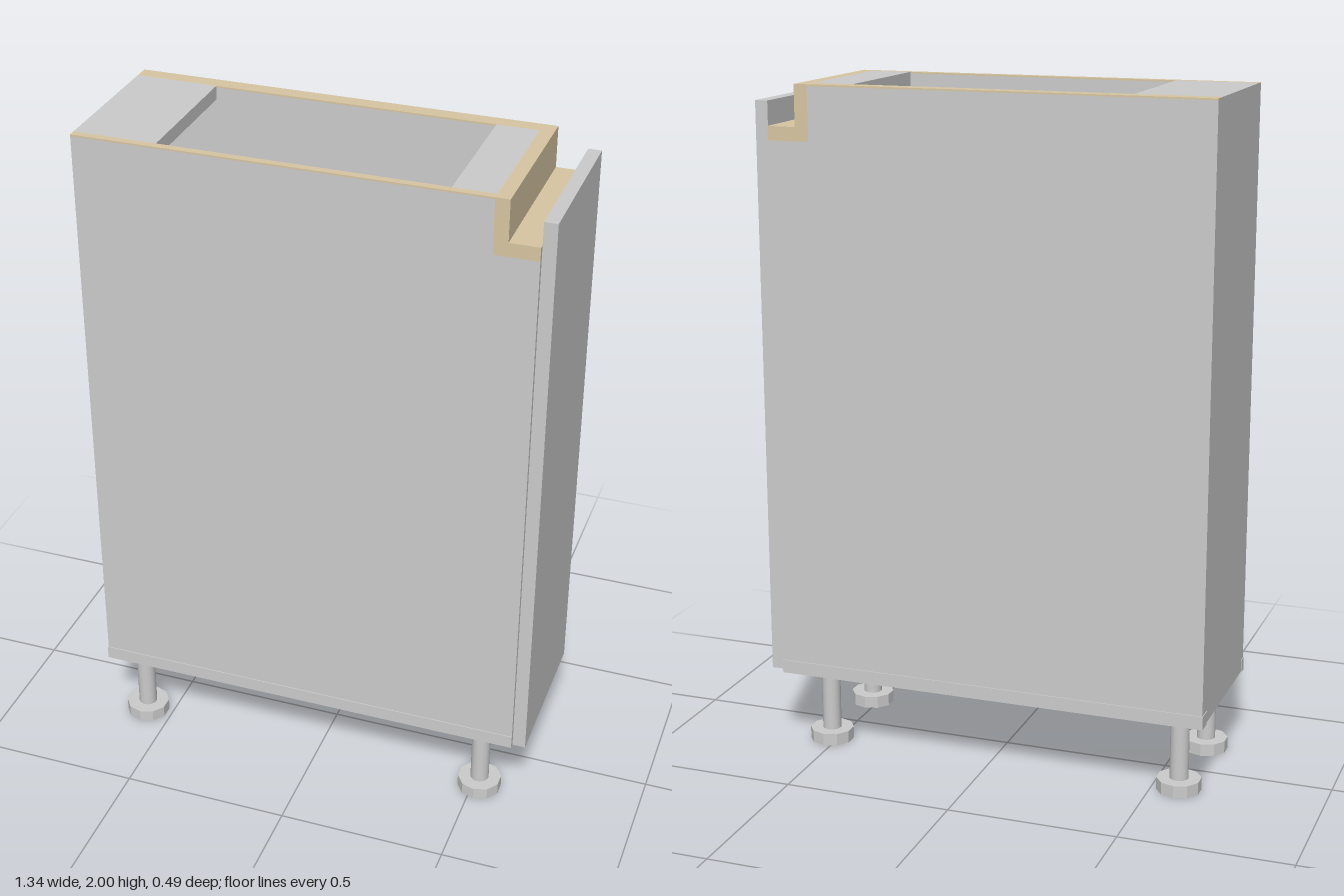
import * as THREE from 'three';

const grey = new THREE.MeshStandardMaterial({ color: 0xcccccc });
const wood = new THREE.MeshStandardMaterial({ color: 0xd8c6a2 });

// Box given by its minimum and maximum corners
function box(parent, name, [x0, y0, z0], [x1, y1, z1], material = grey) {
  const mesh = new THREE.Mesh(new THREE.BoxGeometry(x1 - x0, y1 - y0, z1 - z0), material);
  mesh.position.set((x0 + x1) / 2, (y0 + y1) / 2, (z0 + z1) / 2);
  mesh.name = name;
  parent.add(mesh);
}

// Outline in x and y, extruded from z0 to z1
function profile(parent, name, points, z0, z1, material = grey) {
  const shape = new THREE.Shape(points.map(([x, y]) => new THREE.Vector2(x, y)));
  const geometry = new THREE.ExtrudeGeometry(shape, { depth: z1 - z0, bevelEnabled: false });
  geometry.translate(0, 0, z0);
  const mesh = new THREE.Mesh(geometry, material);
  mesh.name = name;
  parent.add(mesh);
}

function createLeg(x, z) {
  const leg = new THREE.Group();
  leg.name = 'leg';
  const parts = [
    ['foot', 0.066, 0, 0.037, 10],
    ['pole', 0.028, 0.037, 0.23, 16],
    ['mountingPlate', 0.055, 0.23, 0.24, 16],
  ];
  for (const [name, radius, y0, y1, sides] of parts) {
    const geometry = new THREE.CylinderGeometry(radius, radius, y1 - y0, sides);
    const mesh = new THREE.Mesh(sides === 10 ? geometry.toNonIndexed() : geometry, grey);
    if (sides === 10) mesh.geometry.computeVertexNormals();
    mesh.position.y = (y0 + y1) / 2;
    mesh.name = name;
    leg.add(mesh);
  }
  leg.position.set(x, 0, z);
  return leg;
}

export function createModel() {
  const cabinet = new THREE.Group();
  cabinet.name = 'cabinet';

  // Side panels, notched for the grip channel, with wooden top edges and base strips
  const sideOutline = [[-0.67, 0.24], [0.63, 0.24], [0.63, 1.84], [0.505, 1.84], [0.505, 1.995], [-0.67, 1.995]];
  const sides = [
    { z0: -0.245, z1: -0.2, s0: -0.248, s1: -0.2 },
    { z0: 0.22, z1: 0.242, s0: 0.22, s1: 0.245 },
  ];
  for (const { z0, z1, s0, s1 } of sides) {
    profile(cabinet, 'sidePanel', sideOutline, z0, z1);
    box(cabinet, 'sideTopEdge', [-0.67, 1.995, z0], [0.505, 2, z1], wood);
    box(cabinet, 'baseStrip', [-0.672, 0.238, s0], [0.63, 0.278, s1]);
  }

  // Grip channel behind the top of the door
  profile(cabinet, 'gripChannel',
    [[0.505, 1.84], [0.63, 1.84], [0.63, 1.88], [0.545, 1.88], [0.545, 2], [0.505, 2]],
    -0.245, 0.242, wood);

  // Carcass
  box(cabinet, 'backPanel', [-0.67, 0.24, -0.2], [-0.65, 1.96, 0.22]);
  box(cabinet, 'floorPanel', [-0.65, 0.275, -0.2], [0.385, 0.315, 0.22]);
  box(cabinet, 'innerPanel', [0.385, 0.275, -0.2], [0.395, 1.96, 0.22]);
  box(cabinet, 'backTopRail', [-0.67, 1.96, -0.2], [-0.43, 2, 0.22]);
  box(cabinet, 'frontTopRail', [0.385, 1.96, -0.2], [0.505, 2, 0.22]);

  // Door
  box(cabinet, 'door', [0.632, 0.245, -0.237], [0.67, 1.95, 0.237]);

  // Adjustable legs
  for (const x of [-0.58, 0.52]) for (const z of [-0.143, 0.17]) cabinet.add(createLeg(x, z));

  return cabinet;
}
